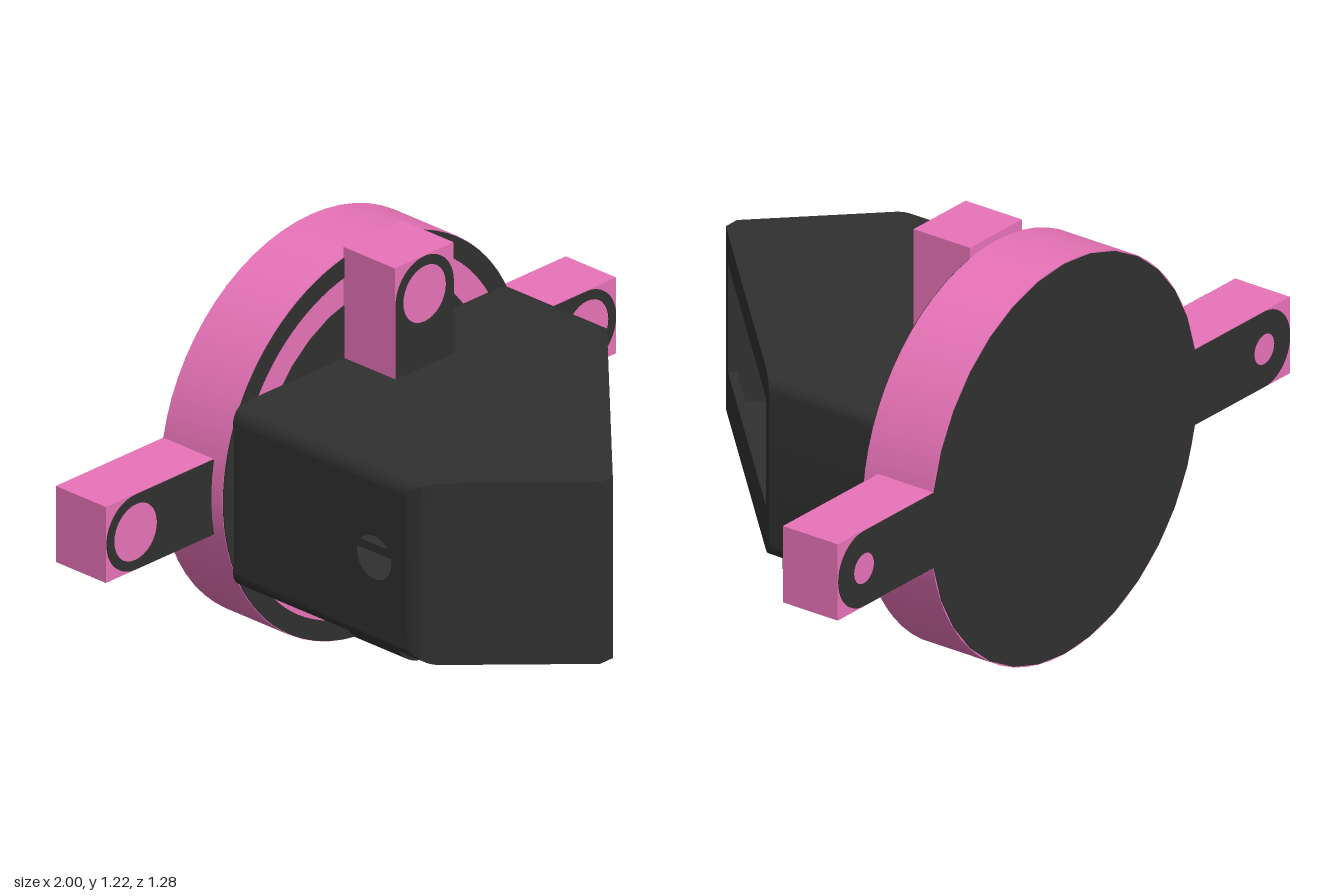
import * as THREE from 'three';
import { toCreasedNormals } from 'three/addons/utils/BufferGeometryUtils.js';

const dark = new THREE.MeshStandardMaterial({ color: 0x303030, side: THREE.DoubleSide });
const pink = new THREE.MeshStandardMaterial({ color: 0xe873b8, side: THREE.DoubleSide });

const BACK = -0.64, FLANGE = -0.405, LUG = -0.21, BAR = -0.45;

function circle(x, y, r) {
  return new THREE.Path().absarc(x, y, r, 0, Math.PI * 2, true);
}

// Strip with one rounded end, running from the origin side to (0, reach)
function roundedStrip(start, reach, r, holeR) {
  const s = new THREE.Shape();
  s.moveTo(r, start);
  s.lineTo(r, reach);
  s.absarc(0, reach, r, 0, Math.PI, false);
  s.lineTo(-r, start);
  s.closePath();
  if (holeR) s.holes.push(circle(0, reach, holeR));
  return s;
}

function disc(r, holeR) {
  const s = new THREE.Shape().absarc(0, 0, r, 0, Math.PI * 2, false);
  if (holeR) s.holes.push(circle(0, 0, holeR));
  return s;
}

export function createModel() {
  const root = new THREE.Group();
  const model = new THREE.Group();
  model.name = 'wallMountedHousing';
  model.position.y = 0.61;
  root.add(model);

  const add = (name, geometry, material) => {
    const mesh = new THREE.Mesh(geometry, material);
    mesh.name = name;
    model.add(mesh);
    return mesh;
  };
  // Extrude a shape between two z planes, optionally turned about z
  const slab = (name, shape, z0, z1, material, turn = 0, segments = 16) => {
    const g = new THREE.ExtrudeGeometry(shape, { depth: z1 - z0, bevelEnabled: false, curveSegments: segments });
    g.translate(0, 0, z0).rotateZ(turn);
    return add(name, toCreasedNormals(g, segments === 32 ? 0.1 : 0.5), material);
  };
  const box = (name, x0, x1, y0, y1, z0, z1) => {
    const g = new THREE.BoxGeometry(x1 - x0, y1 - y0, z1 - z0);
    add(name, g.translate((x0 + x1) / 2, (y0 + y1) / 2, (z0 + z1) / 2), pink);
  };

  // Round flange with its dark facings and central cable hole
  slab('flange', disc(0.59, 0.06), BACK, FLANGE, pink, 0, 32);
  slab('flangeBack', disc(0.588), BACK - 0.002, BACK, dark);
  slab('flangeRim', disc(0.588, 0.53), FLANGE, FLANGE + 0.003, dark, 0, 48);
  slab('flangeCentre', disc(0.45, 0.06), FLANGE, FLANGE + 0.003, dark);

  // Side arms with rounded facings
  for (const side of [-1, 1]) {
    box('sideArm', Math.min(side, side * 0.56), Math.max(side, side * 0.56), -0.115, 0.115, BACK, BAR);
    const turn = -side * Math.PI / 2;
    slab('sideArmFront', roundedStrip(0.58, 0.885, 0.113, 0.085), BAR, BAR + 0.003, dark, turn);
    slab('sideArmBack', roundedStrip(0.58, 0.885, 0.113, 0.045), BACK - 0.002, BACK, dark, turn);
  }

  // Upper lug
  box('topLug', -0.115, 0.115, 0.25, 0.61, FLANGE, LUG);
  slab('topLugFront', roundedStrip(0.25, 0.495, 0.113, 0.085), LUG, LUG + 0.003, dark);

  // Lower lug with a stepped screw hole
  slab('bottomLugFront', roundedStrip(0.25, 0.495, 0.115, 0.07), -0.27, LUG, dark, Math.PI);
  slab('bottomLugRear', roundedStrip(0.25, 0.495, 0.115, 0.03), FLANGE, -0.27, dark, Math.PI);

  // Hollow wedge shell: columns across x, each with a front depth and half height
  const front = x => Math.min(x + 0.83, 0.25 + (x + 0.55) * 2.5, 0.64, 0.5 - x);
  const xs = [-0.19, -0.14, -0.115];
  for (let i = 0; i <= 6; i++) {
    const dx = 0.5 + 0.048 * Math.sin(i * Math.PI / 12);
    xs.push(-dx, dx);
  }
  xs.push(-0.53);
  xs.sort((a, b) => a - b);
  const half = x => {
    const d = Math.max(0, Math.abs(x) - 0.5);
    return 0.227 + Math.sqrt(Math.max(0, 0.048 * 0.048 - d * d));
  };
  const pos = [];
  const quad = (a, b, c, d) => pos.push(...a, ...b, ...c, ...a, ...c, ...d);
  const low = -0.15, high = 0.185;
  for (let i = 0; i + 1 < xs.length; i++) {
    const a = xs[i], b = xs[i + 1], ha = half(a), hb = half(b), za = front(a), zb = front(b);
    const band = (a0, a1, b0, b1) => quad([a, a0, za], [b, b0, zb], [b, b1, zb], [a, a1, za]);
    const open = a >= -0.116 && b <= 0.501;
    if (open) {
      band(-ha, low, -hb, low);
      band(high, ha, high, hb);
    } else band(-ha, ha, -hb, hb);
    quad([a, ha, za], [b, hb, zb], [b, hb, FLANGE], [a, ha, FLANGE]);
    quad([a, -ha, FLANGE], [b, -hb, FLANGE], [b, -hb, zb], [a, -ha, za]);
  }
  // Plain side wall
  const e = xs[xs.length - 1], he = half(e), ze = front(e);
  quad([e, -he, ze], [e, -he, FLANGE], [e, he, FLANGE], [e, he, ze]);
  const shell = new THREE.BufferGeometry();
  shell.setAttribute('position', new THREE.Float32BufferAttribute(pos, 3));
  shell.computeVertexNormals();
  add('housingShell', toCreasedNormals(shell, 0.5), dark);

  // Opposite side wall with the cable hole
  const w = xs[0], zw = front(w), hw = half(w);
  const wall = new THREE.Shape();
  wall.moveTo(FLANGE, -hw);
  wall.lineTo(zw, -hw);
  wall.lineTo(zw, hw);
  wall.lineTo(FLANGE, hw);
  wall.closePath();
  wall.holes.push(circle(0.13, 0, 0.065));
  add('cableSideWall', new THREE.ShapeGeometry(wall, 16).rotateY(-Math.PI / 2).translate(w, 0, 0), dark);

  // Thin reveal around the window in the sloping face
  const fw = 0.87 / 2, fh = 0.335 / 2;
  const frame = new THREE.Shape();
  const rect = (path, x, y) => path.moveTo(-x, -y).lineTo(x, -y).lineTo(x, y).lineTo(-x, y).closePath();
  rect(frame, fw + 0.015, fh + 0.02);
  const hole = new THREE.Path();
  rect(hole, fw, fh);
  frame.holes.push(hole);
  const reveal = new THREE.ExtrudeGeometry(frame, { depth: 0.025, bevelEnabled: false });
  reveal.translate(0, 0, -0.027).rotateY(Math.PI / 4).translate(0.1925, (low + high) / 2, 0.3075);
  add('windowReveal', reveal, dark);

  return root;
}
